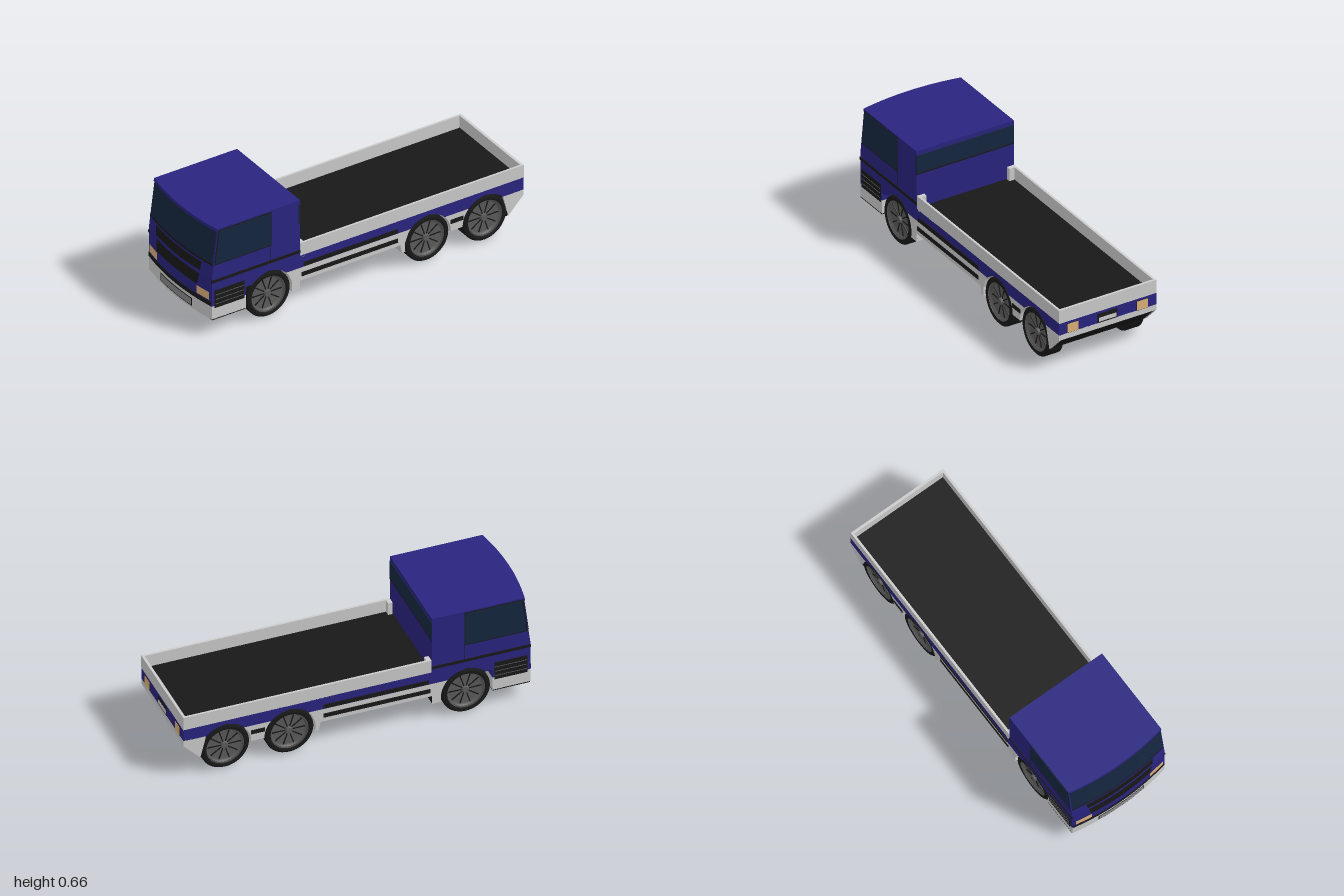
import * as THREE from 'three';

const mat = (color) => new THREE.MeshStandardMaterial({ color, side: THREE.DoubleSide });
const BLUE = mat(0x2a2480), GREY = mat(0xcccccc), BLACK = mat(0x181818), GLASS = mat(0x15263f),
  AMBER = mat(0xdcb078), RIM = mat(0x5a5a5a), STEEL = mat(0x8a8a8a);
const HALF = 0.303, WHEEL_X = [-0.605, 0.395, 0.76], AXLE_Y = 0.137, ARCH = 0.145;

export function createModel() {
  const truck = new THREE.Group();
  truck.name = 'flatbedTruck';

  function add(name, geometry, material, parent = truck) {
    const m = new THREE.Mesh(geometry, material);
    m.name = name;
    parent.add(m);
    return m;
  }
  // Box given by its limits on each axis
  function box(name, material, x0, x1, y0, y1, z0, z1) {
    const g = new THREE.BoxGeometry(x1 - x0, y1 - y0, Math.abs(z1 - z0));
    return add(name, g.translate((x0 + x1) / 2, (y0 + y1) / 2, (z0 + z1) / 2), material);
  }
  // Side profile extruded between two z values
  function profile(name, material, pts, z0, z1) {
    const shape = new THREE.Shape(pts.map((p) => new THREE.Vector2(p[0], p[1])));
    const g = new THREE.ExtrudeGeometry(shape, { depth: z1 - z0, bevelEnabled: false });
    return add(name, g.translate(0, 0, z0), material);
  }

  // Bowed, backward-leaning cab front
  const lean = (y) => Math.max(0, y - 0.36) * 0.13;
  const bow = (z) => -0.997 + 0.03 * (z / 0.3) ** 2;

  // Cab slice: bowed plan shape raised from y0 to y1
  function slab(name, material, y0, y1, back, grow = 0) {
    const pts = [];
    for (let i = 0; i <= 16; i++) {
      const z = -HALF + (2 * HALF * i) / 16;
      pts.push(new THREE.Vector2(bow(z) - grow, z));
    }
    pts.push(new THREE.Vector2(back, HALF), new THREE.Vector2(back, -HALF));
    const g = new THREE.ExtrudeGeometry(new THREE.Shape(pts), { depth: y1 - y0, bevelEnabled: false });
    g.rotateX(-Math.PI / 2).translate(0, y0, 0);
    const p = g.attributes.position;
    for (let i = 0; i < p.count; i++) if (p.getX(i) < -0.9) p.setX(i, p.getX(i) + lean(p.getY(i)));
    g.computeVertexNormals();
    return add(name, g, material);
  }
  // Panel lying on the cab front; taper narrows its lower edge
  function patch(name, material, y0, y1, z0, z1, off = 0.003, taper = 1) {
    const g = new THREE.PlaneGeometry(1, 1, 16, 1);
    const p = g.attributes.position;
    for (let i = 0; i < p.count; i++) {
      const t = p.getY(i) + 0.5, y = y0 + (y1 - y0) * t;
      const z = (z0 + (z1 - z0) * (p.getX(i) + 0.5)) * (taper + (1 - taper) * t);
      p.setXYZ(i, bow(z) + lean(y) - off, y, z);
    }
    g.computeVertexNormals();
    return add(name, g, material);
  }

  // Cab body
  slab('bumper', GREY, 0.105, 0.185, -0.752);
  slab('cabNose', BLUE, 0.185, 0.36, -0.752);
  slab('cabUpper', BLUE, 0.36, 0.655, -0.41);
  slab('roofVisor', BLUE, 0.64, 0.657, -0.41, 0.006);
  box('cabFloor', BLACK, -0.965, -0.752, 0.1, 0.106, -HALF, HALF);
  box('cabLowerRear', BLUE, -0.76, -0.41, 0.285, 0.36, -HALF, HALF);
  box('rearWindow', GLASS, -0.42, -0.407, 0.52, 0.63, -HALF, HALF);
  box('rearWindowTrim', BLACK, -0.42, -0.406, 0.515, 0.522, -HALF, HALF);

  // Cab front
  patch('windscreen', GLASS, 0.445, 0.637, -0.298, 0.298);
  patch('windscreenTrim', BLACK, 0.435, 0.446, -0.3, 0.3, 0.004);
  patch('grille', BLACK, 0.28, 0.425, -0.22, 0.22, 0.004, 0.88);
  patch('frontTrim', BLACK, 0.187, 0.215, -0.3, 0.3, 0.003);
  patch('bumperInset', BLACK, 0.118, 0.168, -0.15, 0.15, 0.002);
  patch('bumperPlate', STEEL, 0.123, 0.163, -0.145, 0.145, 0.003);
  for (const s of [-1, 1]) patch('headlight', AMBER, 0.222, 0.27, s * 0.19, s * 0.285, 0.004);

  // Chassis and underside
  box('chassisCore', BLACK, -0.76, 0.92, 0.155, 0.3, -0.2, 0.2);
  box('frontCrossBar', BLACK, -0.455, -0.41, 0.105, 0.2, -0.3, 0.3);
  for (const x of WHEEL_X) box('axle', BLACK, x - 0.015, x + 0.015, AXLE_Y - 0.015, AXLE_Y + 0.03, -0.22, 0.22);
  profile('rearUnderside', BLACK, [[0.895, 0.1], [0.997, 0.203], [0.997, 0.235], [0.9, 0.235]], -0.298, 0.298);
  box('rearBumper', GREY, 0.98, 0.999, 0.203, 0.237, -HALF, HALF);

  // Load bed
  box('bedFloor', BLACK, -0.41, 0.99, 0.284, 0.312, -0.298, 0.298);
  box('tailBase', BLUE, 0.97, 0.999, 0.235, 0.307, -HALF, HALF);
  box('tailgate', GREY, 0.985, 1.0, 0.307, 0.387, -HALF, HALF);

  // Tail lights and number plate holder
  box('plateHolder', BLACK, 0.99, 1.0, 0.236, 0.292, -0.062, 0.062);
  box('plate', GREY, 0.99, 1.001, 0.243, 0.267, -0.055, 0.055);
  for (const s of [-1, 1]) {
    box('tailLightFrame', BLACK, 0.99, 1.0, 0.235, 0.293, s * 0.181, s * 0.252);
    box('tailLight', AMBER, 0.99, 1.001, 0.237, 0.291, s * 0.183, s * 0.25);
  }

  // Strip of side panel between two ends; an end is a wheel index (arched) or { x }
  function band(name, material, a, b, y0, y1, z0, z1) {
    const edge = (e, y, s) => (typeof e === 'object' ? e.x
      : WHEEL_X[e] + s * Math.sqrt(Math.max(0, ARCH ** 2 - (y - AXLE_Y) ** 2)));
    const left = [], right = [];
    for (let i = 0; i <= 8; i++) {
      const y = y0 + ((y1 - y0) * i) / 8;
      left.unshift([edge(a, y, 1), y]);
      right.push([edge(b, y, -1), y]);
    }
    profile(name, material, [...right, ...left], z0, z1);
  }

  for (const s of [-1, 1]) {
    const zr = (a, b) => (s > 0 ? [a, b] : [-b, -a]);
    const panel = zr(0.2, HALF), skin = zr(0.295, HALF + 0.003);

    // Blue side panels with wheel arches
    band('archPanel', BLUE, { x: -0.76 }, 0, 0.235, 0.286, ...panel);
    band('sidePanel', BLUE, 0, 1, 0.235, 0.286, ...panel);
    band('sidePanel', BLUE, 1, 2, 0.235, 0.286, ...panel);
    band('sidePanel', BLUE, 2, { x: 0.998 }, 0.235, 0.286, ...panel);
    box('sideRail', BLUE, -0.41, 0.998, 0.284, 0.31, s * 0.2, s * HALF);

    // Grey lower skirts
    band('midSkirt', GREY, 0, 1, 0.155, 0.235, ...panel);
    band('frontFlange', GREY, 0, { x: -0.41 }, 0.105, 0.235, ...panel);
    profile('rearFlange', GREY, [[0.205, 0.235], [0.232, 0.105], [0.253, 0.105], [0.25, 0.155], [0.28, 0.235]], ...panel);
    band('wheelGapSkirt', GREY, 1, 2, 0.135, 0.235, ...panel);
    profile('tailSkirt', GREY, [[0.903, 0.105], [0.999, 0.203], [0.999, 0.236], [0.87, 0.236]], ...zr(0.29, HALF));

    // Dark side stripes
    box('upperStripe', BLACK, -0.39, 0.205, 0.238, 0.264, ...skin);
    box('lowerStripe', BLACK, -0.4, 0.205, 0.18, 0.205, ...skin);
    box('gapStripe', BLACK, 0.538, 0.617, 0.18, 0.205, ...skin);

    // Bed walls and front posts
    box('sideWall', GREY, -0.405, 1, 0.307, 0.387, s * 0.29, s * HALF);
    box('bedPost', GREY, -0.407, -0.382, 0.3, 0.387, s * 0.258, s * HALF);

    // Cab side trim, step vent and door
    box('beltStripe', BLACK, -0.968, -0.409, 0.33, 0.347, ...skin);
    box('sideVent', BLACK, -0.95, -0.762, 0.172, 0.28, ...skin);
    for (let i = 0; i < 3; i++) {
      const y = 0.195 + i * 0.028;
      box('ventSlat', RIM, -0.945, -0.766, y, y + 0.003, ...zr(0.3, HALF + 0.005));
    }
    profile('windowFrame', BLACK, [[-0.952, 0.436], [-0.592, 0.436], [-0.592, 0.648], [-0.926, 0.648]], ...zr(0.295, HALF + 0.001));
    profile('sideWindow', GLASS, [[-0.945, 0.442], [-0.597, 0.442], [-0.597, 0.642], [-0.92, 0.642]], ...skin);
    box('doorGap', BLACK, -0.597, -0.593, 0.347, 0.65, ...zr(0.3, HALF + 0.001));
  }

  // Wheels: lathed tyre and dished rim with paired spokes
  const v = (pts) => pts.map((p) => new THREE.Vector2(p[0], p[1]));
  const tyre = new THREE.LatheGeometry(v([[0.106, -0.04], [0.108, -0.047], [0.128, -0.048], [0.137, -0.04],
    [0.137, 0.04], [0.128, 0.048], [0.108, 0.047], [0.106, 0.04], [0.106, -0.04]]), 40).rotateX(Math.PI / 2);
  const dish = new THREE.LatheGeometry(v([[0, 0.03], [0.09, 0.026], [0.1, 0.038], [0.108, 0.046],
    [0.106, 0], [0.106, -0.044], [0.096, -0.02], [0.05, 0.005], [0, 0.005]]), 40).rotateX(Math.PI / 2);
  const hub = new THREE.CylinderGeometry(0.018, 0.022, 0.014, 20).rotateX(Math.PI / 2);

  for (const x of WHEEL_X) for (const s of [-1, 1]) {
    const wheel = new THREE.Group();
    wheel.name = 'wheel';
    add('tyre', tyre, BLACK, wheel);
    add('rim', dish, RIM, wheel);
    add('hub', hub, RIM, wheel).position.z = 0.036;
    for (let i = 0; i < 10; i++) {
      const a = (i * Math.PI) / 5;
      const spoke = add('spokeGap', new THREE.BoxGeometry(0.078, 0.006, 0.006), BLACK, wheel);
      spoke.position.set(Math.cos(a) * 0.059, Math.sin(a) * 0.059, 0.028);
      spoke.rotation.z = a;
    }
    wheel.position.set(x, AXLE_Y, s * 0.251);
    if (s < 0) wheel.rotation.y = Math.PI;
    truck.add(wheel);
  }
  return truck;
}
